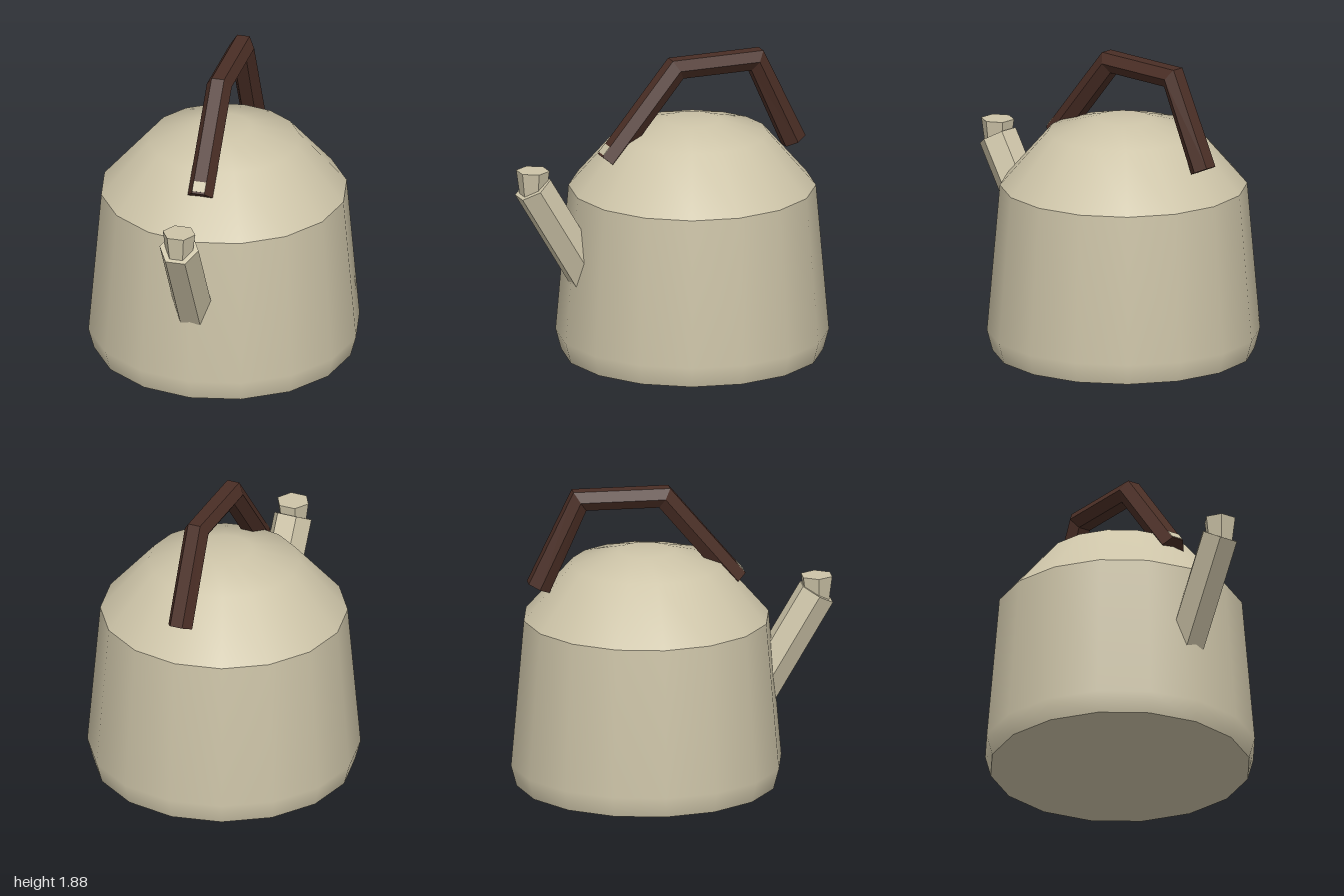
import * as THREE from 'three';

const enamel = new THREE.MeshStandardMaterial({ color: 0xcdc4a8 });
enamel.name = 'cream enamel';
const wood = new THREE.MeshStandardMaterial({ color: 0x4a2e25 });
wood.name = 'dark wood';

const BODY_Z = -0.155;

// Flat normals for faceted parts
function faceted(geometry) {
  const g = geometry.index ? geometry.toNonIndexed() : geometry;
  g.computeVertexNormals();
  return g;
}

function mesh(name, geometry, material) {
  const m = new THREE.Mesh(geometry, material);
  m.name = name;
  return m;
}

// Sixteen-sided turned part, smooth along its profile
function turned(name, profile) {
  const points = profile.map(([r, y]) => new THREE.Vector2(r, y));
  const m = mesh(name, new THREE.LatheGeometry(points, 16), enamel);
  m.position.z = BODY_Z;
  return m;
}

// Six-sided column with corners pointing to the left and right
function hexColumn(rTop, rBottom, height) {
  return faceted(new THREE.CylinderGeometry(rTop, rBottom, height, 6, 1, false, Math.PI / 6));
}

// Hexagonal bar through mitred stations, each given as outer and inner [z, y]
function hexBar(stations) {
  const positions = [];
  const index = [];
  for (const [[zo, yo], [zi, yi]] of stations) {
    const ring = [[0.04, 0], [0.08, 0.5], [0.04, 1], [-0.04, 1], [-0.08, 0.5], [-0.04, 0]];
    for (const [x, t] of ring) positions.push(x, yo + (yi - yo) * t, zo + (zi - zo) * t);
  }
  const last = (stations.length - 1) * 6;
  for (let s = 0; s < last; s += 6) {
    for (let i = 0; i < 6; i++) {
      const a = s + i, b = s + (i + 1) % 6;
      index.push(a, b, a + 6, b, b + 6, a + 6);
    }
  }
  // End caps
  for (let i = 1; i < 5; i++) {
    index.push(0, i + 1, i);
    index.push(last, last + i, last + i + 1);
  }
  const g = new THREE.BufferGeometry();
  g.setAttribute('position', new THREE.Float32BufferAttribute(positions, 3));
  g.setIndex(index);
  return faceted(g);
}

export function createModel() {
  const kettle = new THREE.Group();
  kettle.name = 'kettle';

  // Pot
  kettle.add(turned('base', [[0, 0], [0.81, 0]]));
  kettle.add(turned('body', [[0.81, 0], [0.845, 0.13], [0.765, 1.06]]));
  kettle.add(turned('dome', [[0.765, 1.06], [0.47, 1.4], [0.175, 1.483], [0, 1.483]]));

  // Spout, running from inside the body up to its slanted mouth
  const mouth = new THREE.Vector3(0, 1.167, 0.91);
  const axis = new THREE.Vector3(0, 0.86, 0.51).normalize();
  const length = 0.85;
  const spout = mesh('spout', hexColumn(0.125, 0.125, length), enamel);
  spout.rotation.x = Math.atan2(axis.z, axis.y);
  spout.position.copy(mouth).addScaledVector(axis, -length / 2);
  kettle.add(spout);

  // Flared upright tip
  const tip = mesh('spoutTip', hexColumn(0.104, 0.083, 0.155), enamel);
  tip.position.set(0, 1.1975, 0.91);
  kettle.add(tip);

  // Handle
  kettle.add(mesh('handle', hexBar([
    [[0.46, 1.32], [0.36, 1.236]],
    [[-0.01, 1.885], [-0.08, 1.765]],
    [[-0.615, 1.885], [-0.535, 1.765]],
    [[-0.895, 1.305], [-0.765, 1.245]],
  ]), wood));

  // Pale plate near the front end of the handle
  const plate = mesh('handlePlate', new THREE.BoxGeometry(0.08, 0.006, 0.065), enamel);
  plate.rotation.x = Math.atan2(0.565, 0.47);
  plate.position.set(0, 1.355, 0.431);
  kettle.add(plate);

  return kettle;
}
